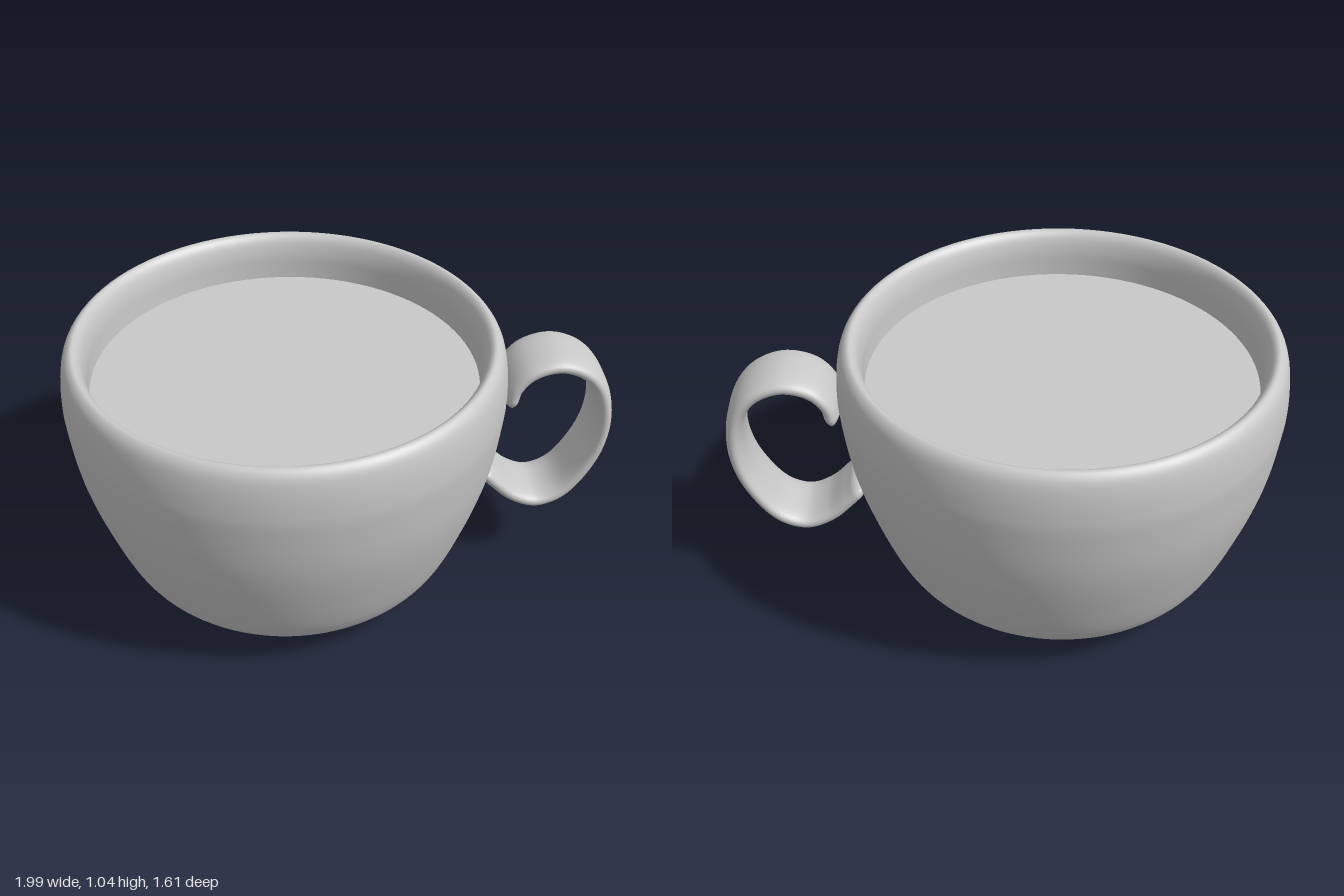
import * as THREE from 'three';
import { ParametricGeometry } from 'three/addons/geometries/ParametricGeometry.js';

const toCurve = (pts) => new THREE.SplineCurve(pts.map(([x, y]) => new THREE.Vector2(x, y)));

// Flattened round strap swept along a planar path, closed with rounded ends
function strapGeometry(path, halfThick, halfWidth) {
  const length = path.getLength();
  const squash = (v, p) => Math.sign(v) * Math.pow(Math.abs(v), p);
  return new ParametricGeometry((u, v, target) => {
    const t = (1 - Math.cos(Math.PI * u)) / 2; // denser rings near the ends
    const p = path.getPointAt(t);
    const d = path.getTangentAt(t);
    const end = Math.min(1, (Math.min(t, 1 - t) * length) / 0.04);
    const s = Math.max(0.01, Math.sqrt(1 - (1 - end) ** 2));
    const a = v * Math.PI * 2;
    const n = squash(Math.cos(a), 0.85) * halfThick * s;
    const w = -squash(Math.sin(a), 0.7) * (halfWidth - 0.035 * (1 - s));
    target.set(p.x - d.y * n, p.y + d.x * n, s > 0.01 ? w : w * 0.01);
  }, 110, 36);
}

export function createModel() {
  const model = new THREE.Group();
  model.name = 'cup';
  const ceramic = new THREE.MeshStandardMaterial({ color: 0xc8c8c8 });
  ceramic.name = 'light grey';

  const add = (name, geometry) => {
    const mesh = new THREE.Mesh(geometry, ceramic);
    mesh.name = name;
    mesh.position.x = -0.197;
    model.add(mesh);
    return mesh;
  };

  // Bowl: outer wall, rolled rim and the inner wall down past the drink
  const profile = toCurve([
    [0, 0.004], [0.16, 0.011], [0.3, 0.022], [0.46, 0.05], [0.55, 0.1], [0.635, 0.2],
    [0.715, 0.4], [0.773, 0.6], [0.802, 0.8], [0.805, 0.89], [0.798, 0.97], [0.783, 1.023],
    [0.755, 1.047], [0.728, 1.025], [0.712, 0.97], [0.708, 0.9], [0.704, 0.8],
  ]);
  add('bowl', new THREE.LatheGeometry(profile.getPoints(96), 96));

  // Flat surface of the drink
  const drink = add('drinkSurface', new THREE.CircleGeometry(0.709, 96));
  drink.rotation.x = -Math.PI / 2;
  drink.position.y = 0.87;

  // Handle: open loop in a plane through the bowl's axis, swung towards the back
  const loop = toCurve([
    [0.825, 0.74], [0.84, 0.82], [0.9, 0.885], [1.0, 0.908], [1.1, 0.868], [1.165, 0.78],
    [1.188, 0.65], [1.168, 0.52], [1.11, 0.4], [1.04, 0.32], [0.95, 0.29], [0.86, 0.325],
    [0.79, 0.39], [0.735, 0.45],
  ]);
  const handle = add('handle', strapGeometry(loop, 0.033, 0.125));
  handle.rotation.y = THREE.MathUtils.degToRad(17.5);

  return model;
}
